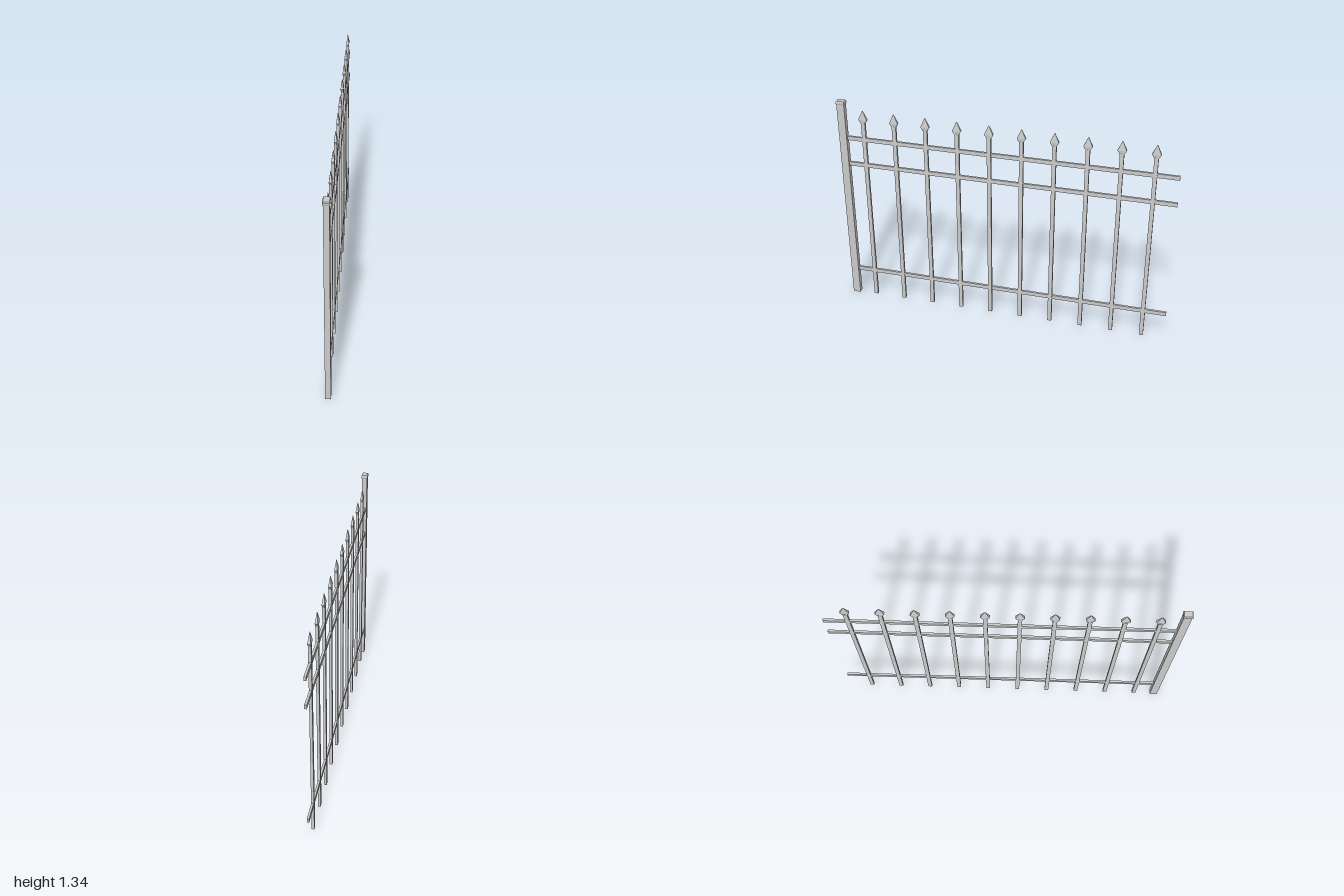
import * as THREE from 'three';

const material = new THREE.MeshStandardMaterial({ color: 0xcccccc, flatShading: true });

// Solid stacked from rectangular sections [y, width in x, width in z]
function taperedBlock(name, sections) {
  const pos = [], index = [];
  for (const [y, w, d] of sections) {
    for (const [sx, sz] of [[-1, 1], [1, 1], [1, -1], [-1, -1]]) pos.push(sx * w / 2, y, sz * d / 2);
  }
  for (let i = 0; i < sections.length - 1; i++) {
    for (let k = 0; k < 4; k++) {
      const a = i * 4 + k, b = i * 4 + (k + 1) % 4;
      index.push(a, b, b + 4, a, b + 4, a + 4);
    }
  }
  const t = (sections.length - 1) * 4;
  index.push(0, 2, 1, 0, 3, 2, t, t + 1, t + 2, t, t + 2, t + 3);
  const indexed = new THREE.BufferGeometry();
  indexed.setAttribute('position', new THREE.Float32BufferAttribute(pos, 3));
  indexed.setIndex(index);
  const geo = indexed.toNonIndexed();
  geo.computeVertexNormals();
  const mesh = new THREE.Mesh(geo, material);
  mesh.name = name;
  return mesh;
}

export function createModel() {
  const fence = new THREE.Group();
  fence.name = 'fencePanel';
  const railX = -0.003;

  // End post with a chamfered cap
  const post = new THREE.Group();
  post.name = 'post';
  post.position.z = 0.974;
  post.add(
    taperedBlock('postShaft', [[0, 0.032, 0.046], [1.32, 0.032, 0.046]]),
    taperedBlock('postCap', [[1.316, 0.033, 0.047], [1.321, 0.038, 0.052], [1.331, 0.038, 0.052], [1.337, 0.032, 0.045]])
  );
  fence.add(post);

  // Three horizontal rails
  for (const y of [0.178, 0.93, 1.099]) {
    const rail = new THREE.Mesh(new THREE.BoxGeometry(0.013, 0.025, 1.96), material);
    rail.name = 'rail';
    rail.position.set(railX, y, -0.02);
    fence.add(rail);
  }

  // Ten pickets with spear heads
  for (let i = 0; i < 10; i++) {
    const picket = new THREE.Group();
    picket.name = 'picket';
    picket.position.set(railX, 0, 0.846 - i * 0.1898);
    picket.add(
      taperedBlock('picketBar', [[0, 0.016, 0.024], [1.21, 0.016, 0.024]]),
      taperedBlock('spearHead', [[1.205, 0.014, 0.026], [1.228, 0.017, 0.052], [1.284, 0.002, 0.003]])
    );
    fence.add(picket);
  }
  return fence;
}
